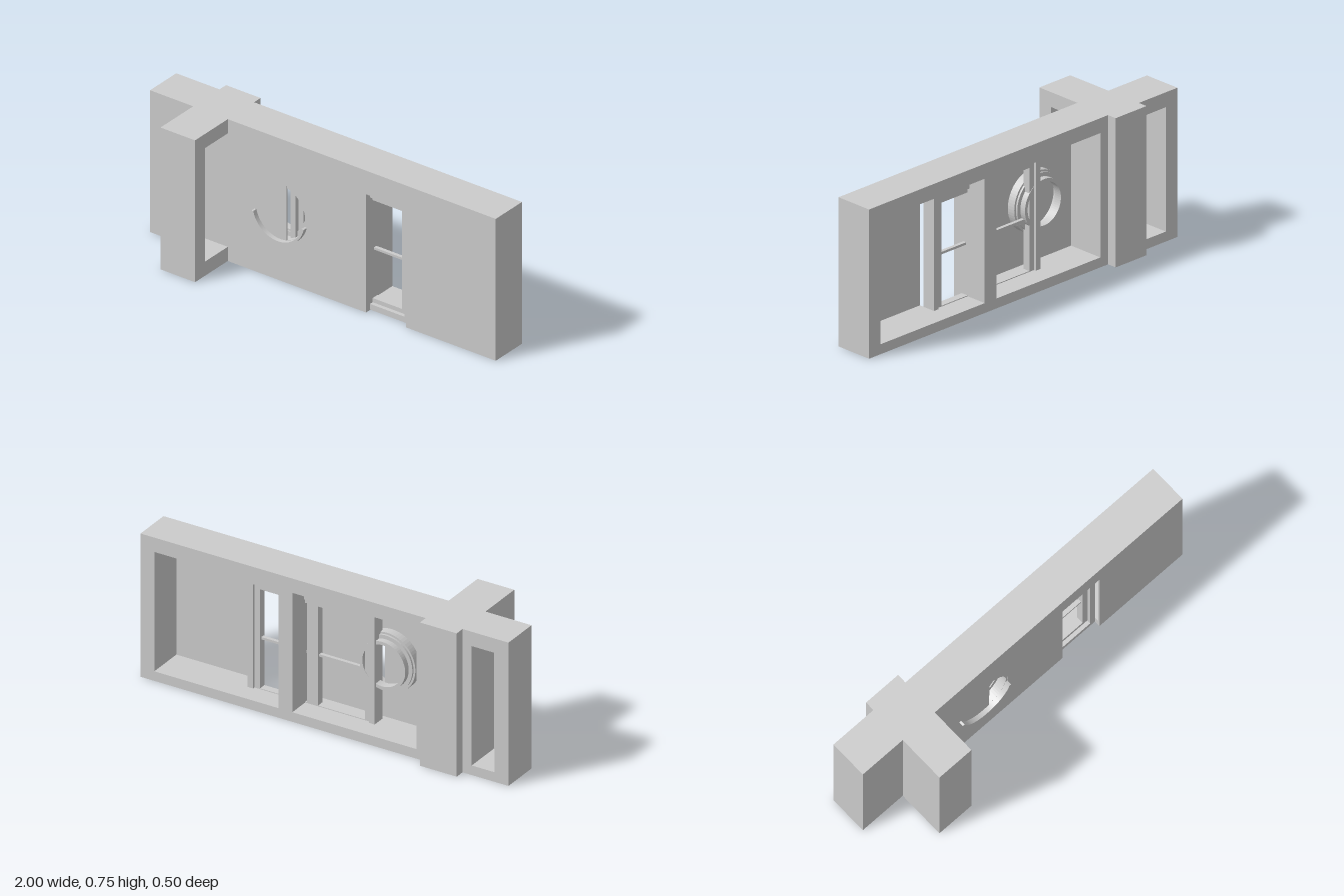
import * as THREE from 'three';

const grey = new THREE.MeshStandardMaterial({ color: 0xcccccc, side: THREE.DoubleSide });

const polygon = (C, pts) => new C(pts.map(([x, y]) => new THREE.Vector2(x, y)));
const rect = (C, x0, x1, y0, y1) => polygon(C, [[x0, y0], [x1, y0], [x1, y1], [x0, y1]]);

// Extrude a front-facing outline between two depths
function slab(parent, name, shape, z0, z1) {
  const geo = new THREE.ExtrudeGeometry(shape, { depth: z1 - z0, bevelEnabled: false, curveSegments: 32 });
  geo.translate(0, 0, z0);
  const mesh = new THREE.Mesh(geo, grey);
  mesh.name = name;
  parent.add(mesh);
  return mesh;
}

// Box given by its limits on each axis
function block(parent, name, x0, x1, y0, y1, z0, z1) {
  const mesh = new THREE.Mesh(new THREE.BoxGeometry(x1 - x0, y1 - y0, z1 - z0), grey);
  mesh.position.set((x0 + x1) / 2, (y0 + y1) / 2, (z0 + z1) / 2);
  mesh.name = name;
  parent.add(mesh);
}

function frame(parent, name, x0, x1, y0, y1, t, z0, z1) {
  const shape = rect(THREE.Shape, x0, x1, y0, y1);
  shape.holes.push(rect(THREE.Path, x0 + t, x1 - t, y0 + t, y1 - t));
  slab(parent, name, shape, z0, z1);
}

// Ring or ring segment about the porthole centre
const CX = -0.245, CY = 0.363;
function ring(parent, name, rOut, rIn, z0, z1, a0 = 0, a1 = Math.PI * 2) {
  const shape = new THREE.Shape();
  shape.absarc(CX, CY, rOut, a0, a1, false);
  if (a1 - a0 < 6.28) {
    shape.absarc(CX, CY, rIn, a1, a0, true);
    shape.closePath();
  } else {
    const hole = new THREE.Path();
    hole.absarc(CX, CY, rIn, 0, Math.PI * 2, true);
    shape.holes.push(hole);
  }
  slab(parent, name, shape, z0, z1);
}

export function createModel() {
  const model = new THREE.Group();
  model.name = 'wallSection';

  // Main wall: open-backed frame with three bays
  const middleBay = () => rect(THREE.Path, -0.5, 0.175, 0.05, 0.675);
  const endBay = () => rect(THREE.Path, -0.925, -0.8, 0.05, 0.675);
  const back = rect(THREE.Shape, -1, 1, 0, 0.75);
  back.holes.push(rect(THREE.Path, 0.25, 0.925, 0.05, 0.675), middleBay(), endBay());
  slab(model, 'wallFrameBack', back, -0.2, -0.06);

  // Front layer of the frame, notched at the doorway
  const front = polygon(THREE.Shape, [
    [-1, 0], [0.25, 0], [0.25, 0.675], [0.925, 0.675], [0.925, 0.05],
    [0.48, 0.05], [0.48, 0], [1, 0], [1, 0.75], [-1, 0.75],
  ]);
  front.holes.push(middleBay(), endBay());
  slab(model, 'wallFrameFront', front, -0.06, -0.008);

  // Front skin with doorway and half-round opening
  const skin = polygon(THREE.Shape, [
    [-1, 0], [0.25, 0], [0.25, 0.625], [0.48, 0.625], [0.48, 0], [1, 0], [1, 0.75], [-1, 0.75],
  ]);
  const R = 0.153, a = Math.acos((-0.21 - CX) / R);
  const opening = new THREE.Path();
  opening.absarc(CX, CY, R, -a, a, false);
  opening.closePath();
  skin.holes.push(opening);
  slab(model, 'wallSkin', skin, -0.008, 0);

  // Cross wall: solid rear stub and hollow front arm, open to +x
  block(model, 'crossWallRear', -0.75, -0.55, 0, 0.75, -0.25, -0.01);
  const arm = new THREE.Group();
  arm.name = 'crossWallArm';
  block(arm, 'armSkin', -0.75, -0.74, 0, 0.75, 0, 0.25);
  block(arm, 'armPost', -0.74, -0.55, 0.075, 0.675, 0.175, 0.25);
  block(arm, 'armBottom', -0.74, -0.55, 0, 0.075, 0, 0.25);
  block(arm, 'armTop', -0.74, -0.55, 0.675, 0.75, 0, 0.25);
  model.add(arm);

  // Double glazed door: outer frame, two sashes, glazing bars
  const door = new THREE.Group();
  door.name = 'door';
  frame(door, 'doorFrame', -0.21, 0.48, 0.002, 0.625, 0.03, -0.1, -0.03);
  for (const [x0, x1] of [[-0.18, 0.135], [0.135, 0.45]]) {
    frame(door, 'doorSash', x0, x1, 0.024, 0.602, 0.03, -0.088, -0.05);
    block(door, 'glazingBar', x0 + 0.03, x1 - 0.03, 0.306, 0.318, -0.078, -0.06);
  }
  model.add(door);

  // Round porthole: rim, stepped inner collar and raised lower lip
  const porthole = new THREE.Group();
  porthole.name = 'porthole';
  ring(porthole, 'portholeRim', 0.155, 0.142, -0.05, -0.002);
  ring(porthole, 'portholeStep', 0.145, 0.118, -0.06, -0.045);
  ring(porthole, 'portholeCollar', 0.125, 0.108, -0.09, -0.05);
  ring(porthole, 'portholeLip', 0.155, 0.143, -0.004, 0.024, Math.PI * 1.07, Math.PI * 1.93);
  model.add(porthole);

  return model;
}
